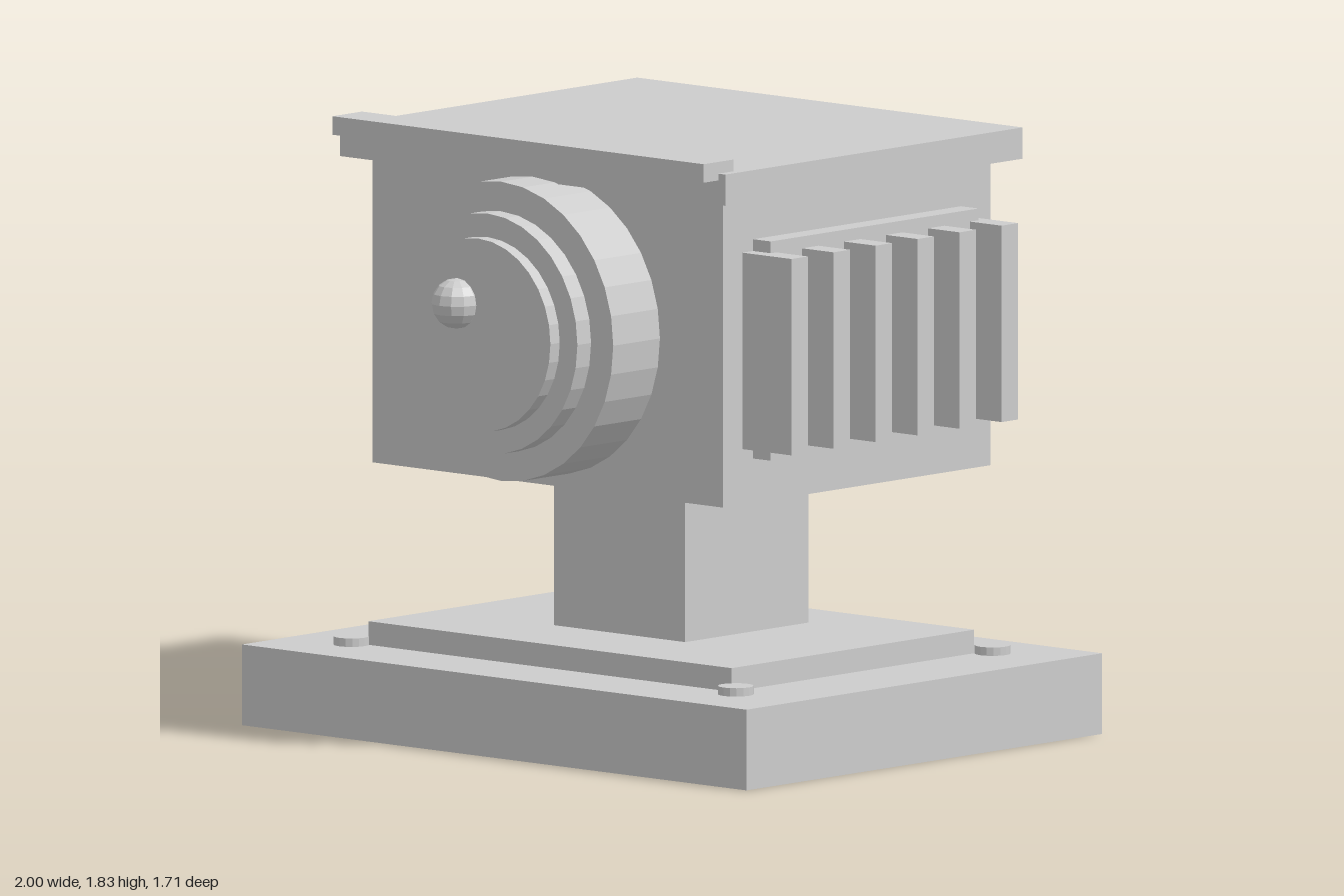
import * as THREE from 'three';

export function createModel() {
  const model = new THREE.Group();
  model.name = 'pedestalUnit';
  const grey = new THREE.MeshStandardMaterial({ color: 0xcccccc, flatShading: true });
  grey.name = 'light grey';

  const add = (name, geometry, x, y, z) => {
    const mesh = new THREE.Mesh(geometry, grey);
    mesh.name = name;
    mesh.position.set(x, y, z);
    model.add(mesh);
    return mesh;
  };
  // Box given by its lower and upper bounds on each axis
  const box = (name, x0, x1, y0, y1, z0, z1) =>
    add(name, new THREE.BoxGeometry(x1 - x0, y1 - y0, z1 - z0),
      (x0 + x1) / 2, (y0 + y1) / 2, (z0 + z1) / 2);

  // Base, plinth and post
  box('base', -1, 1, 0, 0.24, -0.857, 0.705);
  box('plinth', -0.72, 0.72, 0.24, 0.31, -0.605, 0.46);
  box('post', -0.26, 0.26, 0.31, 0.786, -0.387, 0.154);

  // Four bolts around the plinth
  for (const x of [-0.762, 0.762]) {
    for (const z of [-0.64, 0.488]) {
      add('bolt', new THREE.CylinderGeometry(0.053, 0.053, 0.025, 16), x, 0.2525, z);
    }
  }

  // Housing, lid and front lip
  box('housing', -0.695, 0.695, 0.786, 1.697, -0.705, 0.47);
  box('lid', -0.764, 0.764, 1.697, 1.79, -0.77, 0.536);
  box('lidLip', -0.736, 0.736, 1.77, 1.825, 0.47, 0.6);

  // Side panels, with cooling fins on the left one
  box('leftPanel', 0.695, 0.765, 0.918, 1.57, -0.575, 0.338);
  box('rightPanel', -0.768, -0.695, 0.918, 1.57, -0.575, 0.338);
  for (let i = 0; i < 6; i++) {
    const z = 0.349 - i * 0.1845;
    box('fin', 0.695, 0.89, 0.951, 1.535, z - 0.036, z + 0.036);
  }

  // Stepped round front: radius, back z, front z
  const rings = [[0.445, 0.47, 0.675], [0.357, 0.675, 0.735], [0.287, 0.735, 0.776]];
  rings.forEach(([r, z0, z1], i) => {
    const ring = add(['outerRing', 'middleRing', 'frontDisc'][i],
      new THREE.CylinderGeometry(r, r, z1 - z0, 32), 0, 1.265, (z0 + z1) / 2);
    ring.rotation.x = Math.PI / 2;
  });

  // Small knob on the disc
  add('knob', new THREE.SphereGeometry(0.075, 12, 8), -0.08, 1.352, 0.782);

  return model;
}
